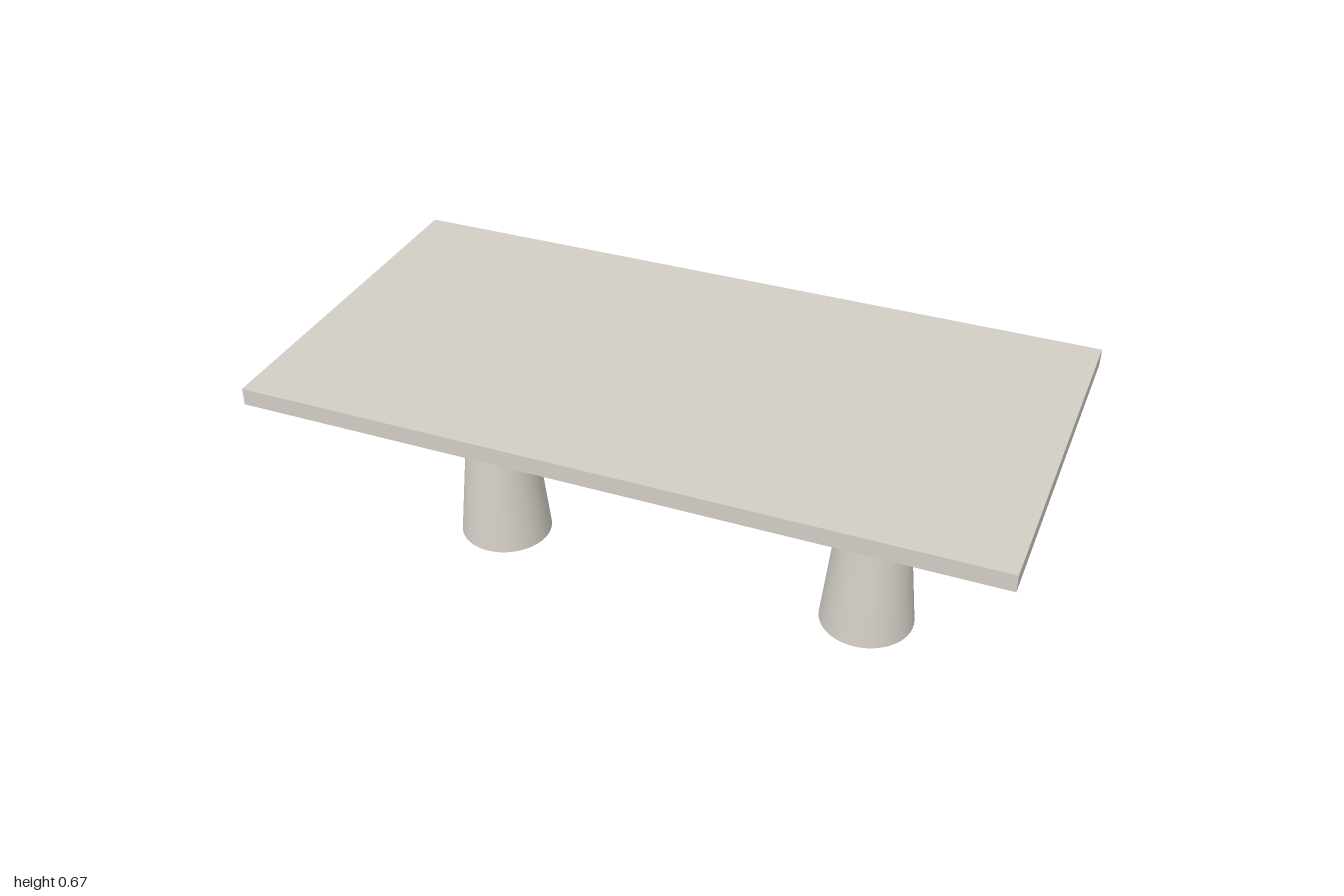
import * as THREE from 'three';

export function createModel() {
  const group = new THREE.Group();
  const stone = new THREE.MeshStandardMaterial({ color: 0xd2cdc5 });
  stone.name = 'warm grey stone';

  const HEIGHT = 0.673, THICKNESS = 0.047;
  const legHeight = HEIGHT - THICKNESS;

  // Flat rectangular slab
  const top = new THREE.Mesh(new THREE.BoxGeometry(2, THICKNESS, 1.012), stone);
  top.name = 'tableTop';
  top.position.y = HEIGHT - THICKNESS / 2;
  group.add(top);

  // Two tapered round pedestals
  const legGeometry = new THREE.CylinderGeometry(0.066, 0.131, legHeight, 48);
  for (const [name, side] of [['leftLeg', 1], ['rightLeg', -1]]) {
    const leg = new THREE.Mesh(legGeometry, stone);
    leg.name = name;
    leg.position.set(side * 0.549, legHeight / 2, -0.005);
    group.add(leg);
  }
  return group;
}
